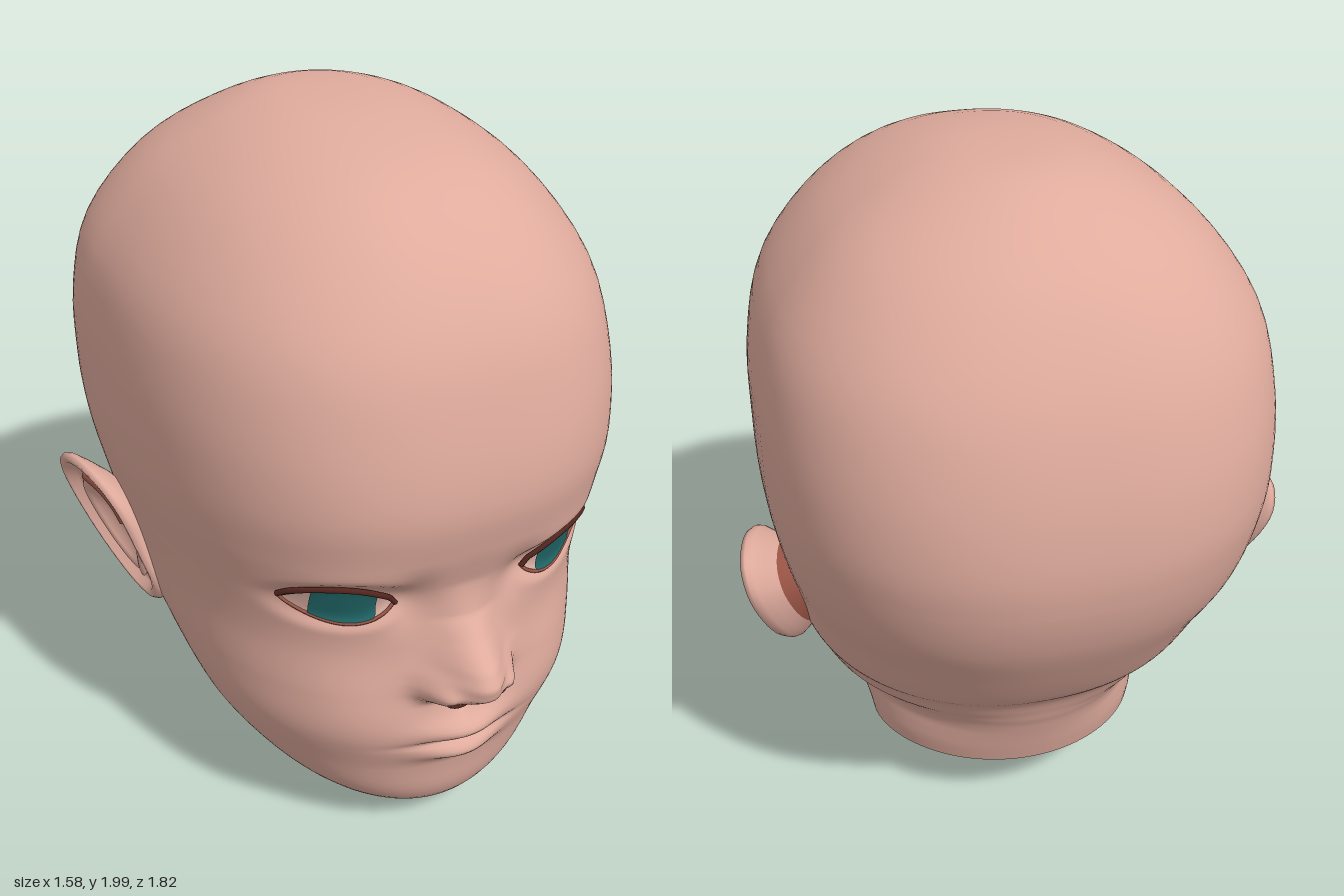
import * as THREE from 'three';

const mat = (name, color) => {
  const m = new THREE.MeshStandardMaterial({ color, side: THREE.DoubleSide });
  m.name = name;
  return m;
};

// Tilted head rings, crown to neck: [yFront, zFront, yBack, zBack, halfWidth, zWidest, squareness]
const RINGS = [
  [2.0, -0.1397, 2.0, -0.1403, 0.0003, -0.14, 2.2],
  [1.988, 0.08, 1.988, -0.33, 0.17, -0.14, 2.2],
  [1.92, 0.37, 1.92, -0.5, 0.345, -0.15, 2.3],
  [1.8, 0.56, 1.8, -0.67, 0.51, -0.18, 2.4],
  [1.61, 0.715, 1.61, -0.81, 0.645, -0.2, 2.5],
  [1.4, 0.785, 1.4, -0.885, 0.69, -0.2, 2.6],
  [1.2, 0.815, 1.2, -0.915, 0.695, -0.2, 2.6],
  [1.05, 0.79, 1.05, -0.905, 0.69, -0.18, 2.5],
  [0.9, 0.745, 0.9, -0.86, 0.665, -0.15, 2.45],
  [0.75, 0.74, 0.75, -0.78, 0.635, -0.08, 2.35],
  [0.6, 0.75, 0.6, -0.685, 0.61, 0, 2.35],
  [0.45, 0.765, 0.52, -0.615, 0.58, 0.07, 2.3],
  [0.3, 0.735, 0.46, -0.585, 0.54, 0.08, 2.2],
  [0.18, 0.715, 0.42, -0.57, 0.495, 0.07, 2.1],
  [0.1, 0.665, 0.39, -0.557, 0.465, 0.04, 2],
  [0.065, 0.58, 0.355, -0.545, 0.443, 0, 2],
  [0.065, 0.42, 0.315, -0.532, 0.428, -0.07, 2],
  [0.065, 0.27, 0.265, -0.517, 0.417, -0.12, 2],
  [0.01, 0.24, 0.21, -0.5, 0.408, -0.13, 2],
];

// Smooth interpolation between neighbouring rings
function ringAt(t) {
  const last = RINGS.length - 1;
  const i = Math.min(Math.floor(t), last - 1), f = t - i;
  const r = (k) => RINGS[Math.max(0, Math.min(last, k))];
  return r(i).map((b, c) => {
    const a = r(i - 1)[c], d = r(i + 1)[c], e = r(i + 2)[c];
    return b + 0.5 * f * (d - a + f * (2 * a - 5 * b + 4 * d - e + f * (3 * (b - d) + e - a)));
  });
}

const bump = (x, y, cx, cy, sx, sy = sx) => Math.exp(-(((x - cx) / sx) ** 2) - ((y - cy) / sy) ** 2);

// Nose along the midline: [y, height, half width]
const NOSE = [[0.555, 0, 0.1], [0.58, 0.045, 0.1], [0.605, 0.115, 0.105], [0.635, 0.152, 0.105], [0.675, 0.165, 0.1],
  [0.715, 0.142, 0.09], [0.77, 0.078, 0.08], [0.83, 0.026, 0.07], [0.93, 0, 0.07]];
function nose(x, y) {
  for (let i = 1; i < NOSE.length; i++) {
    const [y0, h0, w0] = NOSE[i - 1], [y1, h1, w1] = NOSE[i];
    if (y >= y0 && y <= y1) {
      const f = (y - y0) / (y1 - y0);
      return (h0 + (h1 - h0) * f) * Math.exp(-((x / (w0 + (w1 - w0) * f)) ** 2.3));
    }
  }
  return 0;
}

// Forward relief of the face
function relief(x0, y) {
  const x = Math.abs(x0);
  const eye = ((x - 0.33) / 0.155) ** 2 + ((y - 0.91) / 0.08) ** 2;
  return nose(x, y)
    + 0.05 * bump(x, y, 0.105, 0.625, 0.035, 0.042)      // nostril wings
    - 0.03 * bump(x, y, 0.16, 0.9, 0.06, 0.08)           // inner eye corners
    + 0.02 * bump(x, y, 0.33, 0.93, 0.17, 0.11)          // eyelids
    - 0.035 * Math.exp(-(eye ** 3))                      // eye openings
    + 0.02 * bump(x, y, 0.34, 0.56, 0.15)                // cheeks
    + 0.015 * bump(x, y, 0, 0.42, 0.17, 0.09)            // muzzle
    + 0.036 * bump(x, y, 0, 0.458, 0.11, 0.034)          // upper lip
    - 0.024 * bump(x, y, 0, 0.412, 0.14, 0.012)          // mouth line
    + 0.034 * bump(x, y, 0, 0.368, 0.11, 0.03)           // lower lip
    - 0.01 * bump(x, y, 0, 0.53, 0.022, 0.035);          // groove under nose
}

// Point on the face surface for a given x and y
function facePoint(x, y, lift = 0) {
  const [, zf, , , w, zc, n] = ringAt(7 + (1.05 - y) / 0.15);
  const z = zc + (zf - zc) * (1 - Math.abs(x / w) ** n) ** (1 / n);
  return new THREE.Vector3(x, y, z + relief(x, y) + lift);
}

// Surface from rows of points
function loft(rows, closed) {
  const cols = rows[0].length, index = [];
  for (let r = 0; r < rows.length - 1; r++) {
    for (let c = 0; c < (closed ? cols : cols - 1); c++) {
      const a = r * cols + c, b = r * cols + ((c + 1) % cols);
      index.push(a, a + cols, b, b, a + cols, b + cols);
    }
  }
  const g = new THREE.BufferGeometry().setFromPoints(rows.flat());
  g.setIndex(index);
  g.computeVertexNormals();
  return g;
}

function headGeometry() {
  const rows = [], half = 80;
  for (let seg = 0; seg < RINGS.length - 1; seg++) {
    const steps = seg >= 7 && seg <= 11 ? 17 : 4;
    for (let s = 0; s < steps + (seg === RINGS.length - 2 ? 1 : 0); s++) {
      const t = seg + s / steps;
      const [yf, zf, yb, zb, w, zc, n] = ringAt(t);
      const tilt = 1 + Math.max(0, t - 12) * 0.25, row = [];
      for (let c = -half; c < half; c++) {
        const phi = Math.PI * Math.sign(c) * Math.abs(c / half) ** 1.5;
        const co = Math.cos(phi), front = co > 0;
        const e = 2 / (front ? n : Math.max(2, n - 0.15));
        const x = w * Math.sign(phi) * Math.abs(Math.sin(phi)) ** e;
        let z = zc + ((front ? zf : zb) - zc) * Math.abs(co) ** e;
        const u = Math.min(1, Math.max(0, (z - zb) / (zf - zb)));
        const y = yb + (yf - yb) * u ** tilt;
        if (front && t < 15) z += relief(x, y);
        row.push(new THREE.Vector3(x, y, z));
      }
      rows.push(row);
    }
  }
  return loft(rows, true);
}

// Ear outline in side view: [distance back, height]
const EAR = [[0, 0.59], [0.05, 0.52], [0.13, 0.525], [0.24, 0.61], [0.325, 0.74], [0.355, 0.86],
  [0.32, 0.935], [0.22, 0.96], [0.12, 0.93], [0.05, 0.86], [0.02, 0.74]];
const earPoint = (side, a, b, off) => new THREE.Vector3(side * (0.583 + 0.27 * a + 0.25 * (b - 0.52) + off), b, -a);

// Ear rings as [scale about the middle, outward offset]: hidden root, then over the rim into the bowl
const EAR_ROOT = [[0.5, -0.1], [0.74, -0.062]];
const EAR_SHELL = [[0.74, -0.062], [0.88, -0.035], [0.98, -0.012], [1, 0.004], [0.96, 0.02], [0.88, 0.018], [0.81, -0.008],
  [0.7, -0.012], [0.6, 0.004], [0.5, -0.004], [0.38, -0.025], [0.01, -0.03]];
function earGeometry(side, steps) {
  const outline = new THREE.CatmullRomCurve3(EAR.map(([a, b]) => new THREE.Vector3(a, b, 0)), true).getPoints(44).slice(0, 44);
  if (side < 0) outline.reverse();
  return loft(steps.map(([k, off]) => outline.map((p) =>
    earPoint(side, 0.17 + k * (p.x - 0.17), 0.74 + k * (p.y - 0.74), off))), true);
}

export function createModel() {
  const skin = mat('skin', 0xdfab9d);
  const eyeball = mat('eyeball', 0xdcb0a3);
  const iris = mat('iris', 0x22696a);
  const flesh = mat('inner flesh', 0x9a5546);
  const lash = mat('lash line', 0x54261f);

  const model = new THREE.Group();
  model.name = 'head';
  const add = (name, geometry, material) => {
    const m = new THREE.Mesh(geometry, material);
    m.name = name;
    model.add(m);
    return m;
  };
  add('skull and face', headGeometry(), skin);

  // Almond eye edges, by distance from the middle
  const along = (x) => Math.min(1, Math.max(0, (x - 0.19) / 0.28));
  const lidArc = (x) => Math.sin(Math.PI * along(x)) ** 0.7;
  const lidLine = (x) => 0.895 + 0.03 * along(x);
  const upper = (x) => lidLine(x) + 0.065 * lidArc(x);
  const lower = (x) => lidLine(x) - 0.07 * lidArc(x);
  const lidInner = (x) => Math.max(lower(x), upper(x) - 0.008 - 0.014 * along(x));
  const disc = (x) => Math.sqrt(Math.max(0, 0.088 ** 2 - (x - 0.322) ** 2));

  // Patch lying on the face between two edges
  const patch = (side, x0, x1, lo, hi, lift) => {
    const rows = [];
    for (let j = 0; j <= 12; j++) {
      const row = [];
      for (let i = 0; i <= 24; i++) {
        const x = x0 + ((x1 - x0) * i) / 24;
        row.push(facePoint(side * x, hi(x) + ((lo(x) - hi(x)) * j) / 12, lift));
      }
      if (side < 0) row.reverse();
      rows.push(row);
    }
    return loft(rows, false);
  };
  const rim = (side, edge, radius, lift) => {
    const pts = [];
    for (let i = 0; i <= 16; i++) {
      const x = 0.19 + (0.28 * i) / 16;
      pts.push(facePoint(side * x, edge(x), lift));
    }
    return new THREE.TubeGeometry(new THREE.CatmullRomCurve3(pts), 32, radius, 6);
  };

  for (const side of [1, -1]) {
    const tag = side > 0 ? 'left ' : 'right ';
    add(tag + 'eyeball', patch(side, 0.19, 0.47, lower, upper, 0.006), eyeball);
    add(tag + 'iris', patch(side, 0.243, 0.4, (x) => Math.max(lower(x), 0.905 - disc(x)),
      (x) => Math.min(upper(x), 0.905 + disc(x)), 0.011), iris);
    add(tag + 'upper lid lining', patch(side, 0.19, 0.47, lidInner, upper, 0.015), flesh);
    add(tag + 'upper lid edge', rim(side, upper, 0.008, 0.014), lash);
    add(tag + 'lower lid edge', rim(side, lower, 0.005, 0.008), flesh);

    const nostril = add(tag + 'nostril', new THREE.SphereGeometry(1, 14, 10), lash);
    nostril.scale.set(0.036, 0.013, 0.018);
    nostril.position.copy(facePoint(side * 0.055, 0.6, -0.006));

    // Ear with its hidden root, the shaded fold under its rim and the small front flap
    add(tag + 'ear', earGeometry(side, EAR_SHELL), skin);
    add(tag + 'ear root', earGeometry(side, EAR_ROOT), flesh);
    const fold = [[0.09, 0.8], [0.11, 0.85], [0.16, 0.885], [0.24, 0.895]].map(([a, b]) => earPoint(side, a, b, -0.009));
    add(tag + 'ear fold', new THREE.TubeGeometry(new THREE.CatmullRomCurve3(fold), 16, 0.021, 8), flesh);
    const flap = add(tag + 'ear flap', new THREE.SphereGeometry(1, 12, 10), skin);
    flap.scale.set(0.014, 0.07, 0.03);
    flap.position.copy(earPoint(side, 0.05, 0.69, 0.002));
  }

  // Hollow of the mouth, seen through the open neck
  const mouth = add('mouth hollow', new THREE.IcosahedronGeometry(1, 0), flesh);
  mouth.scale.set(0.22, 0.17, 0.25);
  mouth.position.set(0, 0.38, 0.45);
  return model;
}
